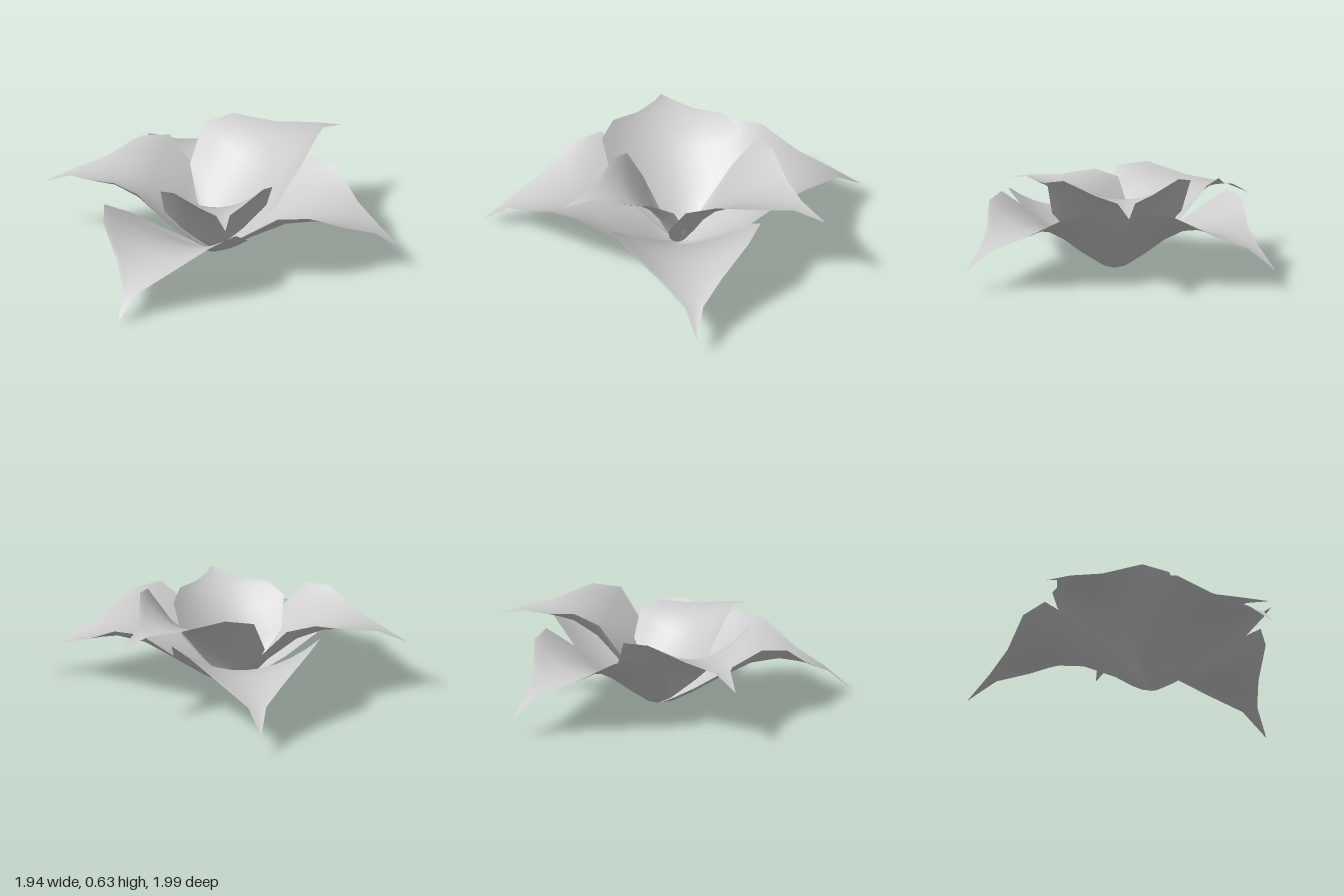
import * as THREE from 'three';

// Petal cross-sections from base to tip: [reach, half width, midrib height, edge height]
const SECTIONS = [
  [0, 0.01, 0, 0],
  [0.07, 0.12, 0.02, 0.07],
  [0.16, 0.26, 0.08, 0.17],
  [0.29, 0.41, 0.18, 0.31],
  [0.51, 0.455, 0.29, 0.47],
  [0.685, 0.365, 0.32, 0.45],
  [0.855, 0.185, 0.3, 0.325],
  [1.02, 0.055, 0.24, 0.245],
  [1.185, 0.001, 0.12, 0.12],
];

// Cupped sheet lofted through the sections, lying along +x
function petalGeometry(columns = 10) {
  const positions = [];
  const indices = [];
  for (const [reach, half, mid, edge] of SECTIONS) {
    for (let j = 0; j <= columns; j++) {
      const s = (2 * j) / columns - 1;
      positions.push(reach, mid + (edge - mid) * s * s, half * s);
    }
  }
  const stride = columns + 1;
  for (let i = 0; i < SECTIONS.length - 1; i++) {
    for (let j = 0; j < columns; j++) {
      const a = i * stride + j;
      const b = a + stride;
      indices.push(a, a + 1, b, a + 1, b + 1, b);
    }
  }
  const geometry = new THREE.BufferGeometry();
  geometry.setAttribute('position', new THREE.Float32BufferAttribute(positions, 3));
  geometry.setIndex(indices);
  geometry.computeVertexNormals();
  return geometry;
}

export function createModel() {
  const flower = new THREE.Group();
  flower.name = 'flower';
  const geometry = petalGeometry();
  const material = new THREE.MeshStandardMaterial({ color: 0xcccccc, side: THREE.DoubleSide });

  // Heading and upward pitch in degrees, then size
  const petals = [
    ['outerPetalBack', -75.4, 0, 1],
    ['outerPetalFrontLeft', 30, 0, 1],
    ['outerPetalFrontRight', 135.3, -4.8, 1],
    ['innerPetalLeft', -25, 20.5, 0.96],
    ['innerPetalRight', 210.2, 11.6, 0.93],
    ['innerPetalFront', 101, 27, 0.75],
  ];
  for (const [name, heading, pitch, size] of petals) {
    const petal = new THREE.Mesh(geometry, material);
    petal.name = name;
    petal.position.set(-0.06, 0, 0.15);
    petal.rotation.set(0, -THREE.MathUtils.degToRad(heading), THREE.MathUtils.degToRad(pitch));
    petal.scale.setScalar(size);
    flower.add(petal);
  }
  return flower;
}
